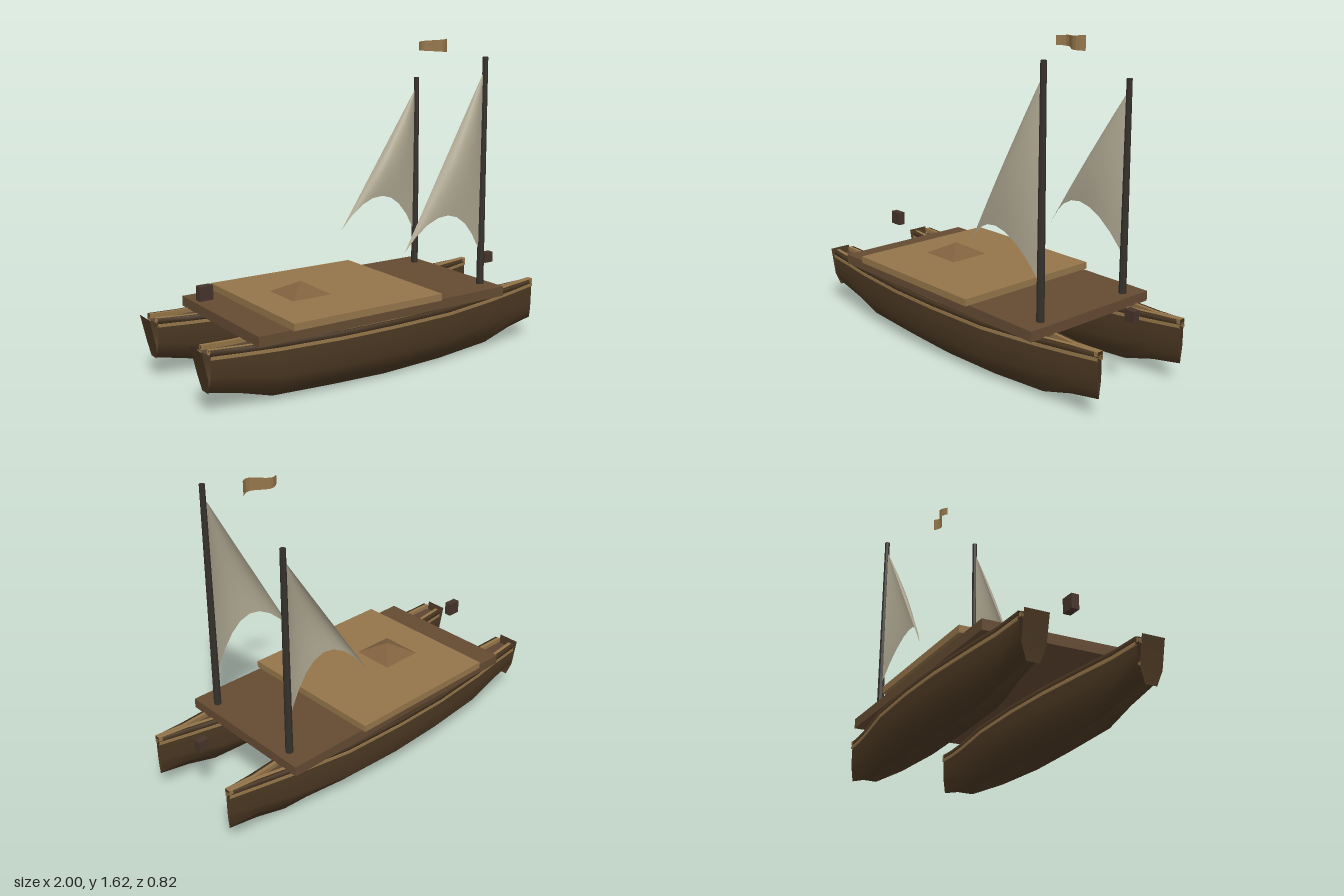
import * as THREE from 'three';

const mat = (color, flatShading = false) =>
  new THREE.MeshStandardMaterial({ color, flatShading, side: THREE.DoubleSide });
const wood = mat(0x4a3722), trim = mat(0x947549, true), floorMat = mat(0x5c4433, true);
const deckMat = mat(0x644a32, true), mastMat = mat(0x35302b, true), hatchMat = mat(0x80613f, true);
const blockMat = mat(0x45342a, true), cloth = mat(0xaea791);

// Hull stations: x, half width, top, bottom
const stations = [
  [-0.96, 0.058, 0.315, 0.11], [-0.8, 0.068, 0.306, 0.075], [-0.63, 0.088, 0.302, 0.025],
  [-0.3, 0.114, 0.3, 0.01], [0, 0.118, 0.3, 0], [0.35, 0.104, 0.3, 0.008],
  [0.67, 0.055, 0.306, 0.03], [0.84, 0.03, 0.315, 0.08], [1, 0.01, 0.328, 0.11],
];

// Surface through a grid of rows of [x, y, z] points
function surface(rows) {
  const n = rows[0].length, index = [];
  for (let i = 0; i < rows.length - 1; i++)
    for (let j = 0; j < n - 1; j++) {
      const a = i * n + j, b = a + n;
      index.push(a, b, a + 1, b, b + 1, a + 1);
    }
  const g = new THREE.BufferGeometry();
  g.setAttribute('position', new THREE.Float32BufferAttribute(rows.flat(2), 3));
  g.setIndex(index);
  g.computeVertexNormals();
  return g;
}

// Sweep a [z, y] section, computed per station, along the hull
const loft = (section) =>
  surface(stations.map(([x, w, t, b]) => section(w, t, b, x).map(([z, y]) => [x, y, z])));

function add(parent, name, geometry, material, x = 0, y = 0, z = 0) {
  const m = new THREE.Mesh(geometry, material);
  m.name = name;
  m.position.set(x, y, z);
  parent.add(m);
  return m;
}

function createHull() {
  const hull = new THREE.Group();
  hull.name = 'hull';
  // Planked shell with a grooved keel
  add(hull, 'hullShell', loft((w, t, b) => {
    const chine = b + (t - b) * 0.4, low = b + (t - b) * 0.2;
    return [
      [w, t - 0.01], [w * 1.04, (t + chine) / 2], [w, chine], [w * 0.72, low], [w * 0.17, b],
      [0, Math.max(0.1, b + 0.01)],
      [-w * 0.3, b + 0.035], [-w * 0.72, low + 0.02], [-w, chine], [-w * 1.04, (t + chine) / 2], [-w, t - 0.01],
    ];
  }), wood);
  add(hull, 'hullFloor', loft((w, t) => [[-w, t - 0.025], [w, t - 0.025]]), floorMat);

  // Rails on both sides: outer band, dark cap and inner ledge
  const bar = (s, z0, z1, y0, y1) => [[z0, y0], [z1, y0], [z1, y1], [z0, y1], [z0, y0]].map(([z, y]) => [s * z, y]);
  for (const s of [1, -1]) {
    add(hull, 'railBand', loft((w, t) => bar(s, w, w + 0.007, t - 0.04, t - 0.024)), trim);
    add(hull, 'railCap', loft((w, t) => bar(s, Math.max(w - 0.012, 0), w + 0.004, t - 0.024, t)), wood);
    add(hull, 'railLedge', loft((w, t) =>
      bar(s, Math.max(w - 0.028, 0), Math.max(w - 0.01, 0.016), t - 0.02, t + 0.002)), trim);
  }

  // Raked stern panel
  add(hull, 'sternPanel', surface([
    [[-0.96, 0.11, -0.03], [-0.96, 0.11, 0.03]],
    [[-0.97, 0.18, -0.056], [-0.97, 0.18, 0.056]],
    [[-1, 0.315, -0.058], [-1, 0.315, 0.058]],
  ]), wood);
  return hull;
}

// Triangular sail with a scalloped foot and a belly toward +z
function sailGeometry(foot, peak) {
  const rows = [];
  for (let i = 0; i <= 10; i++) {
    const t = i / 10, row = [];
    for (let j = 0; j <= 8; j++) {
      const u = j / 8;
      const x = 0.618 - 0.483 * u, y = foot + 0.04 * u + 0.76 * u * (1 - u);
      const belly = 0.05 * Math.sin(Math.PI * u) * Math.sin(Math.PI * (0.3 + 0.7 * t));
      row.push([x + (0.622 - x) * t, y + (peak - y) * t, belly]);
    }
    rows.push(row);
  }
  return surface(rows);
}

function flagGeometry() {
  const rows = [];
  for (let i = 0; i <= 10; i++) {
    const u = i / 10, x = 0.43 + 0.185 * u, z = -0.027 * Math.sin(2 * Math.PI * u);
    rows.push([[x, 1.557 - 0.012 * u, z], [x, 1.6 + 0.015 * u, z]]);
  }
  return surface(rows);
}

export function createModel() {
  const model = new THREE.Group();
  model.name = 'catamaran';

  // Twin hulls, masts and sails
  const rigs = [
    { z: 0.277, top: 1.53, foot: 0.545, peak: 1.45 },
    { z: -0.277, top: 1.4, foot: 0.56, peak: 1.33 },
  ];
  for (const { z, top, foot, peak } of rigs) {
    const hull = createHull();
    hull.position.z = z;
    model.add(hull);
    const h = top - 0.33;
    add(model, 'mast', new THREE.CylinderGeometry(0.014, 0.019, h, 8), mastMat, 0.635, 0.33 + h / 2, z);
    add(model, 'sail', sailGeometry(foot, peak), cloth, 0, 0, z);
  }

  // Deck, raised platform and hatch
  add(model, 'deck', new THREE.BoxGeometry(1.445, 0.05, 0.78), deckMat, -0.0275, 0.33, 0);
  add(model, 'platform', new THREE.BoxGeometry(0.85, 0.035, 0.82), trim, -0.155, 0.3725, 0);
  const hatch = new THREE.ConeGeometry(0.11 * Math.SQRT2, 0.06, 4).rotateY(Math.PI / 4);
  add(model, 'hatch', hatch, hatchMat, -0.295, 0.42, 0);

  // End blocks and pennant
  add(model, 'sternBlock', new THREE.BoxGeometry(0.07, 0.07, 0.037), blockMat, -0.815, 0.475, 0);
  add(model, 'bowBlock', new THREE.BoxGeometry(0.055, 0.057, 0.037), blockMat, 0.932, 0.4, 0);
  add(model, 'pennant', flagGeometry(), trim);
  return model;
}
